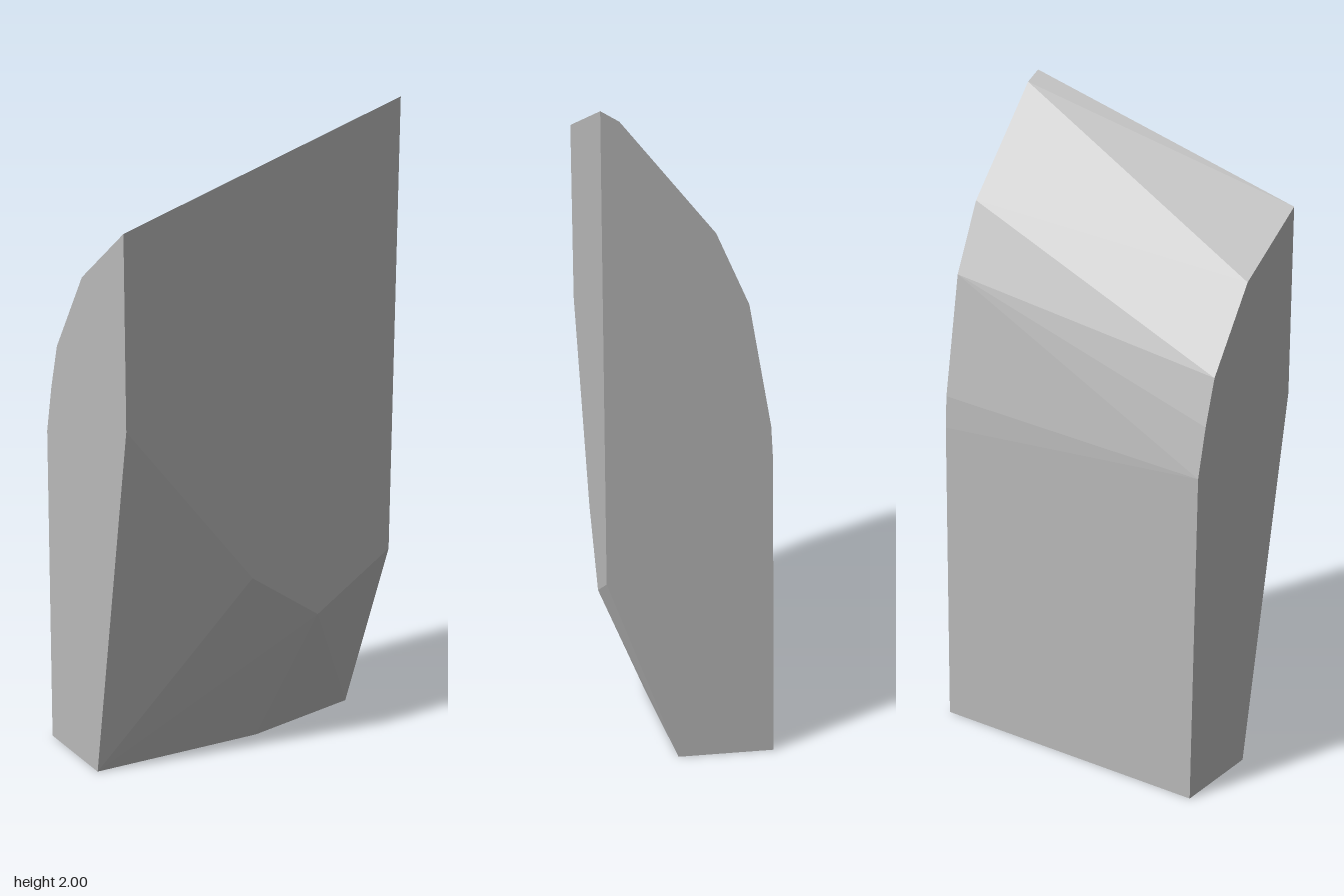
import * as THREE from 'three';
import { ConvexGeometry } from 'three/addons/geometries/ConvexGeometry.js';

const W = 0.465;

// Side profiles as [z, y], from the top front edge over the back to the base
const tallSide = [[0.25, 2], [0.2, 1.97], [-0.06, 1.65], [-0.154, 1.44], [-0.222, 1.07], [-0.229, 0.97], [-0.25, 0], [0.04, 0], [0.25, 0.6]];
const shortSide = [[0.25, 1.705], [0.01, 1.535], [-0.151, 1.295], [-0.192, 1.16], [-0.226, 1.015], [-0.245, 0], [0.045, 0], [0.25, 1.14]];

// Corners of the chipped lower front, between the two sides
const chippedFront = [[0.2, 0.44, 0.25], [-0.04, 0.61, 0.25], [0.08, 0, 0.092]];

export function createModel() {
  const group = new THREE.Group();
  group.name = 'stoneShard';

  const stone = new THREE.MeshStandardMaterial({ color: 0xb8b8b8 });
  stone.name = 'stone grey';

  // Faceted convex block wrapped around the two profiles and the chipped corners
  const points = [
    ...tallSide.map(([z, y]) => new THREE.Vector3(W, y, z)),
    ...shortSide.map(([z, y]) => new THREE.Vector3(-W, y, z)),
    ...chippedFront.map((p) => new THREE.Vector3(...p)),
  ];
  const block = new THREE.Mesh(new ConvexGeometry(points), stone);
  block.name = 'block';
  group.add(block);
  return group;
}
